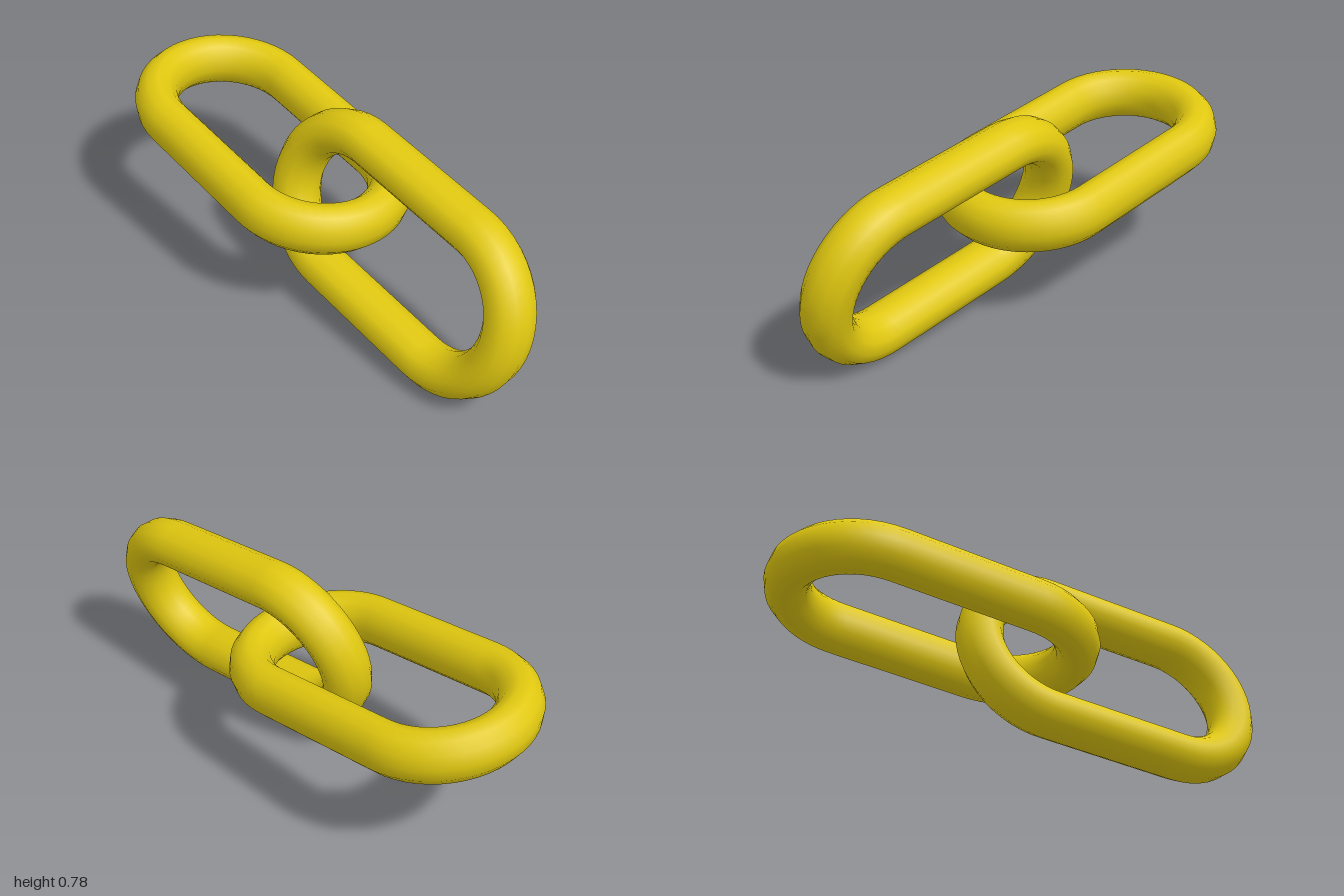
import * as THREE from 'three';

const HALF = 0.273;      // half length of the straight sides
const BEND = 0.283;      // radius of the rounded ends
const WIRE = 0.085;      // wire radius in the plane of the link
const WIRE_DEPTH = 0.1;  // wire radius across the plane of the link

// Closed stadium-shaped centre line in the xy plane
class StadiumCurve extends THREE.Curve {
  getPoint(t, target = new THREE.Vector3()) {
    const arc = Math.PI * BEND, half = arc + 2 * HALF;
    const d = (t % 1) * 2 * half;
    const sign = d < half ? 1 : -1;
    const s = d < half ? d : d - half;
    if (s < arc) {
      const a = s / BEND - Math.PI / 2;
      return target.set(sign * (HALF + BEND * Math.cos(a)), sign * BEND * Math.sin(a), 0);
    }
    return target.set(sign * (HALF - (s - arc)), sign * BEND, 0);
  }
}

export function createModel() {
  const model = new THREE.Group();
  const material = new THREE.MeshStandardMaterial({ color: 0xe0c810 });

  // Slightly oval wire bent into one link, shared by both
  const geometry = new THREE.TubeGeometry(new StadiumCurve(), 80, WIRE, 12, true);
  geometry.scale(1, 1, WIRE_DEPTH / WIRE);

  // Places a link by its centre, long direction and width direction
  function addLink(name, centre, along, across) {
    const x = new THREE.Vector3(...along).normalize();
    const y = new THREE.Vector3(...across);
    y.addScaledVector(x, -y.dot(x)).normalize();
    const z = new THREE.Vector3().crossVectors(x, y);
    const link = new THREE.Mesh(geometry, material);
    link.name = name;
    link.quaternion.setFromRotationMatrix(new THREE.Matrix4().makeBasis(x, y, z));
    link.position.set(...centre);
    model.add(link);
  }

  addLink('uprightLink', [0.365, 0.39, 0.07], [1, -0.12, 0.1], [0.14, 0.97, -0.26]);
  addLink('flatLink', [-0.365, 0.48, 0], [1, -0.125, 0.1], [-0.09, 0.06, 1]);
  return model;
}
